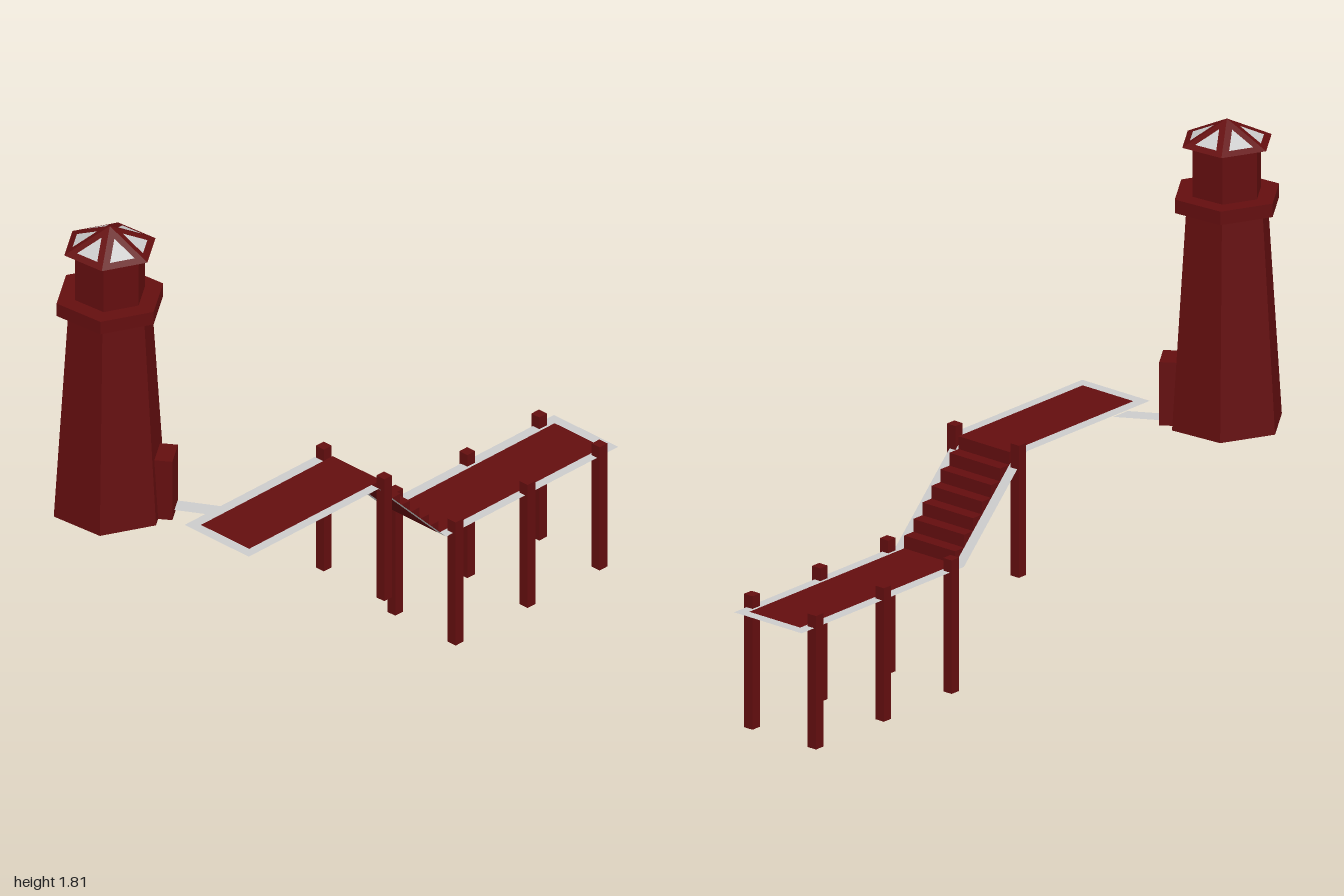
import * as THREE from 'three';

const red = new THREE.MeshStandardMaterial({ color: 0x640e0f, flatShading: true, side: THREE.DoubleSide });
const grey = new THREE.MeshStandardMaterial({ color: 0xcccccc, flatShading: true, side: THREE.DoubleSide });

function add(parent, name, geometry, material) {
  const mesh = new THREE.Mesh(geometry, material);
  mesh.name = name;
  parent.add(mesh);
  return mesh;
}

// Flat faces from loops of 3 or 4 corners
function faces(loops) {
  const points = [];
  for (const l of loops) {
    points.push(l[0], l[1], l[2]);
    if (l.length === 4) points.push(l[0], l[2], l[3]);
  }
  const g = new THREE.BufferGeometry().setFromPoints(points);
  g.computeVertexNormals();
  return g;
}

const v = (x, y, z) => new THREE.Vector3(x, y, z);

// Strip facing up, running in z from (z0, y0) back to (z1, y1)
const strip = (x0, x1, z0, y0, z1 , y1) => [v(x0, y0, z0), v(x1, y0, z0), v(x1, y1, z1), v(x0, y1, z1)];

const OUT0 = 0.088, OUT1 = 0.386, IN0 = 0.127, IN1 = 0.351;
const TOP = 0.75, LOW = 0.43, STAIR_TOP = 0.14, STAIR_END = -0.18;

function makeTower() {
  const tower = new THREE.Group();
  tower.name = 'tower';
  tower.position.set(-0.2, 0, 0.82);
  tower.rotation.y = THREE.MathUtils.degToRad(34.6);

  // Stacked six-sided sections: name, top radius, bottom radius, bottom, top
  const sections = [
    ['towerBody', 0.148, 0.199, 0.73, 1.502],
    ['gallery', 0.189, 0.189, 1.502, 1.55],
    ['lanternRoom', 0.124, 0.124, 1.55, 1.735],
  ];
  for (const [name, rt, rb, y0, y1] of sections) {
    add(tower, name, new THREE.CylinderGeometry(rt, rb, y1 - y0, 6), red).position.y = (y0 + y1) / 2;
  }

  // Roof: six facets, each a red frame around a grey pane
  const frame = [], panes = [];
  const apex = v(0, 1.81, 0);
  const corner = (i) => v(0.162 * Math.sin(i * Math.PI / 3), 1.73, 0.162 * Math.cos(i * Math.PI / 3));
  for (let i = 0; i < 6; i++) {
    const outer = [apex, corner(i), corner(i + 1)];
    const mid = v(0, 0, 0);
    outer.forEach((p) => mid.addScaledVector(p, 1 / 3));
    const inner = outer.map((p) => mid.clone().lerp(p, 0.54));
    for (let k = 0; k < 3; k++) {
      const n = (k + 1) % 3;
      frame.push([outer[k], outer[n], inner[n], inner[k]]);
    }
    panes.push(inner);
  }
  add(tower, 'roofFrame', faces(frame), red);
  add(tower, 'roofPanes', faces(panes), grey);

  // Entrance on the facet that faces the walkway
  const porch = new THREE.Group();
  porch.name = 'entrance';
  porch.rotation.y = Math.PI / 2;
  add(porch, 'doorway', new THREE.BoxGeometry(0.114, 0.225, 0.1), red).position.set(0, 0.8425, 0.17);
  porch.rotation.y = Math.PI / 2;
  tower.add(porch);
  return tower;
}

function makePier() {
  const pier = new THREE.Group();
  pier.name = 'pier';

  // Red decks
  add(pier, 'upperDeck', faces([strip(IN0, IN1, 0.722, TOP, STAIR_TOP, TOP)]), red);
  add(pier, 'lowerDeck', faces([strip(IN0, IN1, STAIR_END, LOW, -0.963, LOW)]), red);

  // Grey borders along both sides of decks and stairs, and across the two ends
  const border = [
    strip(IN0, IN1, 0.76, TOP, 0.722, TOP),
    strip(IN0, IN1, -0.963, LOW, -1, LOW),
  ];
  for (const [x0, x1] of [[OUT0, IN0], [IN1, OUT1]]) {
    border.push(
      strip(x0, x1, 0.76, TOP, STAIR_TOP, TOP),
      strip(x0, x1, STAIR_TOP, TOP, STAIR_END, LOW),
      strip(x0, x1, STAIR_END, LOW, -1, LOW),
    );
  }
  add(pier, 'deckBorder', faces(border), grey);

  // Stairs: saw-tooth profile with a sloping underside, extruded across the deck
  const steps = 7;
  const run = (STAIR_TOP - STAIR_END) / steps, rise = (TOP - LOW) / steps;
  const profile = new THREE.Shape();
  profile.moveTo(-STAIR_TOP, TOP);
  for (let i = 0; i < steps; i++) {
    const z = STAIR_TOP - run * (i + 1);
    profile.lineTo(-z, TOP - rise * i);
    profile.lineTo(-z, TOP - rise * (i + 1));
  }
  const stairs = new THREE.ExtrudeGeometry(profile, { depth: IN1 - IN0, bevelEnabled: false });
  stairs.rotateY(Math.PI / 2);
  add(pier, 'stairs', stairs, red).position.x = IN0;

  // Posts in pairs: z, bottom, top
  for (const [z, y0, y1] of [[0.108, 0.315, 0.785], [-0.232, 0, 0.475], [-0.575, 0, 0.475], [-0.918, 0, 0.475]]) {
    for (const x of [0.099, 0.379]) {
      add(pier, 'post', new THREE.BoxGeometry(0.037, y1 - y0, 0.037), red).position.set(x, (y0 + y1) / 2, z);
    }
  }
  return pier;
}

export function createModel() {
  const model = new THREE.Group();
  model.name = 'lighthouseWithPier';
  model.add(makeTower(), makePier());

  // Narrow path from the upper deck to the entrance
  const y = 0.745;
  add(model, 'path', faces([[v(-0.01, y, 0.707), v(0.09, y, 0.65), v(0.09, y, 0.578), v(-0.05, y, 0.658)]]), grey);
  return model;
}
